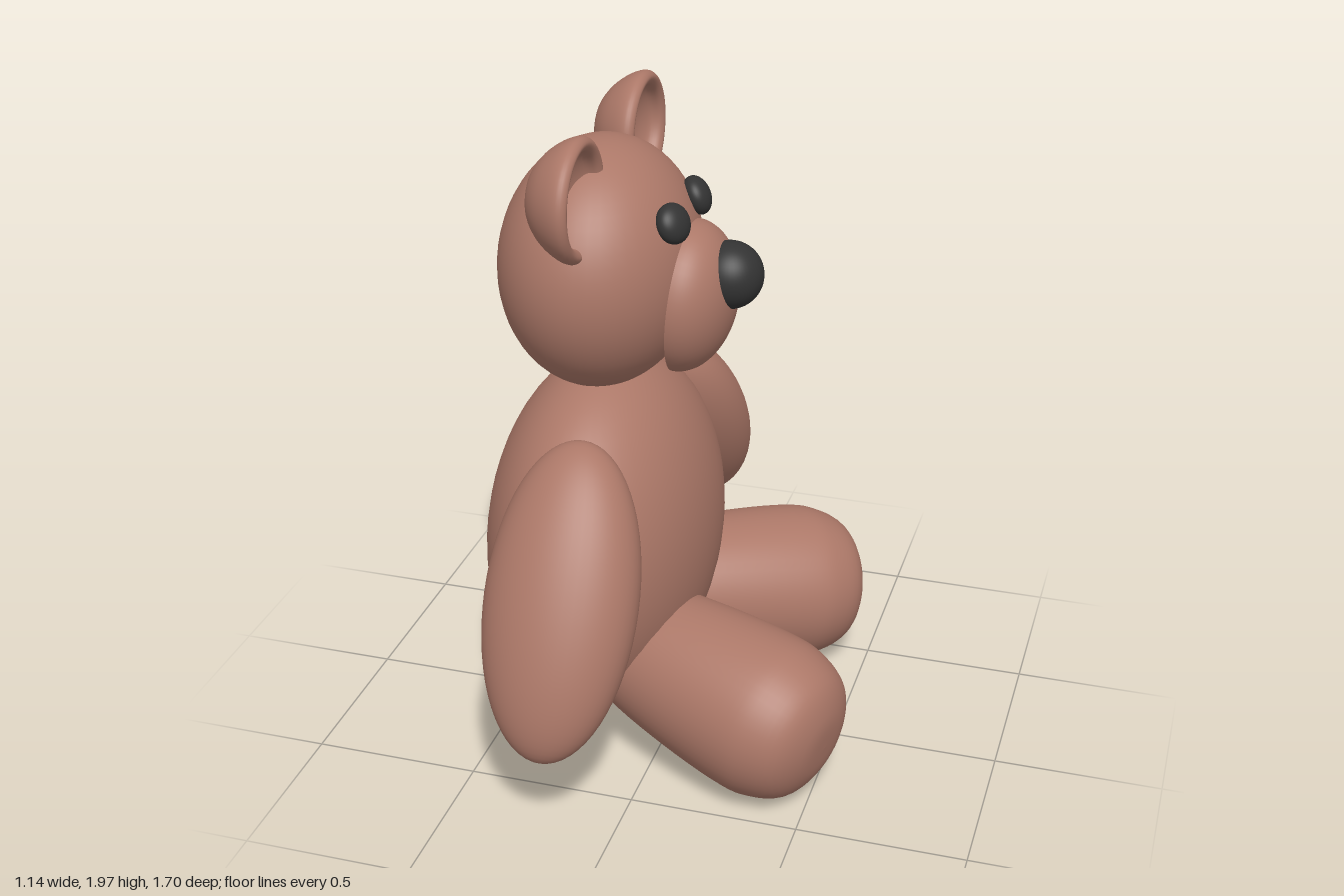
import * as THREE from 'three';

const fur = new THREE.MeshStandardMaterial({ color: 0xac7868 });
const black = new THREE.MeshStandardMaterial({ color: 0x333333 });
const UP = new THREE.Vector3(0, 1, 0);

export function createModel() {
  const bear = new THREE.Group();
  bear.name = 'teddyBear';

  function add(name, geometry, material, position) {
    const mesh = new THREE.Mesh(geometry, material);
    mesh.name = name;
    mesh.position.set(...position);
    bear.add(mesh);
    return mesh;
  }

  function ellipsoid(name, position, radii, material = fur) {
    const mesh = add(name, new THREE.SphereGeometry(1, 48, 32), material, position);
    mesh.scale.set(...radii);
    return mesh;
  }

  // Smooth lathe turned about +y from a few [radius, height] points
  function turned(points) {
    const curve = new THREE.SplineCurve(points.map(([r, h]) => new THREE.Vector2(r, h)));
    const profile = curve.getPoints(40);
    profile.forEach(p => { p.x = Math.max(p.x, 0); });
    return new THREE.LatheGeometry(profile, 48);
  }

  // Torso and head, facing +x
  ellipsoid('body', [-0.225, 0.67, 0], [0.335, 0.55, 0.545]);
  ellipsoid('head', [-0.23, 1.525, 0], [0.29, 0.365, 0.37]);

  // Muzzle: a half ellipsoid with a flat back, tipped slightly down
  const dome = Array.from({ length: 25 }, (_, i) => {
    const a = (i / 24) * Math.PI / 2;
    return new THREE.Vector2(Math.cos(a), Math.sin(a));
  });
  dome[24].x = 0;
  const muzzle = add('muzzle', new THREE.LatheGeometry(dome, 48), fur, [0.02, 1.445, 0]);
  muzzle.material = fur;
  muzzle.scale.set(0.225, 0.15, 0.205);
  muzzle.rotation.z = -Math.PI / 2 - 0.09;
  const muzzleBack = add('muzzleBack', new THREE.CircleGeometry(1, 48), fur, [0.02, 1.445, 0]);
  muzzleBack.scale.set(0.205, 0.225, 1);
  muzzleBack.rotation.set(0, -Math.PI / 2, -0.09, 'ZYX');

  ellipsoid('nose', [0.148, 1.52, -0.006], [0.098, 0.098, 0.098], black);

  // Cupped ears with a rounded rim, open towards +x
  const earShape = turned([
    [0, -0.15], [0.07, -0.142], [0.125, -0.105], [0.162, -0.055], [0.174, -0.015],
    [0.158, 0.006], [0.136, -0.004], [0.122, -0.035], [0.07, -0.062], [0, -0.07]
  ]);

  // Foot end is broad and rounded, hip end is narrower
  const legShape = turned([
    [0, 0], [0.1, 0.008], [0.16, 0.045], [0.2, 0.15], [0.23, 0.35],
    [0.245, 0.55], [0.235, 0.65], [0.19, 0.74], [0.1, 0.787], [0, 0.795]
  ]);

  // The limbs are posed a little differently on each side
  const sides = [
    {
      side: 'Left', s: 1, ear: [-0.18, 1.812, 0.295],
      arm: [-0.17, 0.73, 0.585], armRadii: [0.222, 0.455, 0.165], armTilt: 28,
      foot: [0.55, 0.235, 0.37], legDir: [0.945, -0.175, 0.326]
    },
    {
      side: 'Right', s: -1, ear: [-0.18, 1.825, -0.285],
      arm: [-0.168, 0.775, -0.575], armRadii: [0.225, 0.438, 0.168], armTilt: 34,
      foot: [0.415, 0.255, -0.56], legDir: [0.8, -0.175, -0.6]
    }
  ];

  for (const p of sides) {
    const eye = ellipsoid('eye' + p.side, [0.018, 1.705, p.s * 0.118], [0.04, 0.058, 0.06], black);
    eye.rotation.set(0, -p.s * 0.3, 0.4);

    const ear = add('ear' + p.side, earShape, fur, p.ear);
    ear.rotation.z = -Math.PI / 2;

    const arm = ellipsoid('arm' + p.side, p.arm, p.armRadii);
    arm.rotation.x = -p.s * THREE.MathUtils.degToRad(p.armTilt);

    const dir = new THREE.Vector3(...p.legDir).normalize();
    const leg = add('leg' + p.side, legShape, fur, p.foot);
    leg.position.addScaledVector(dir, -0.795);
    leg.quaternion.setFromUnitVectors(UP, dir);
  }

  return bear;
}
